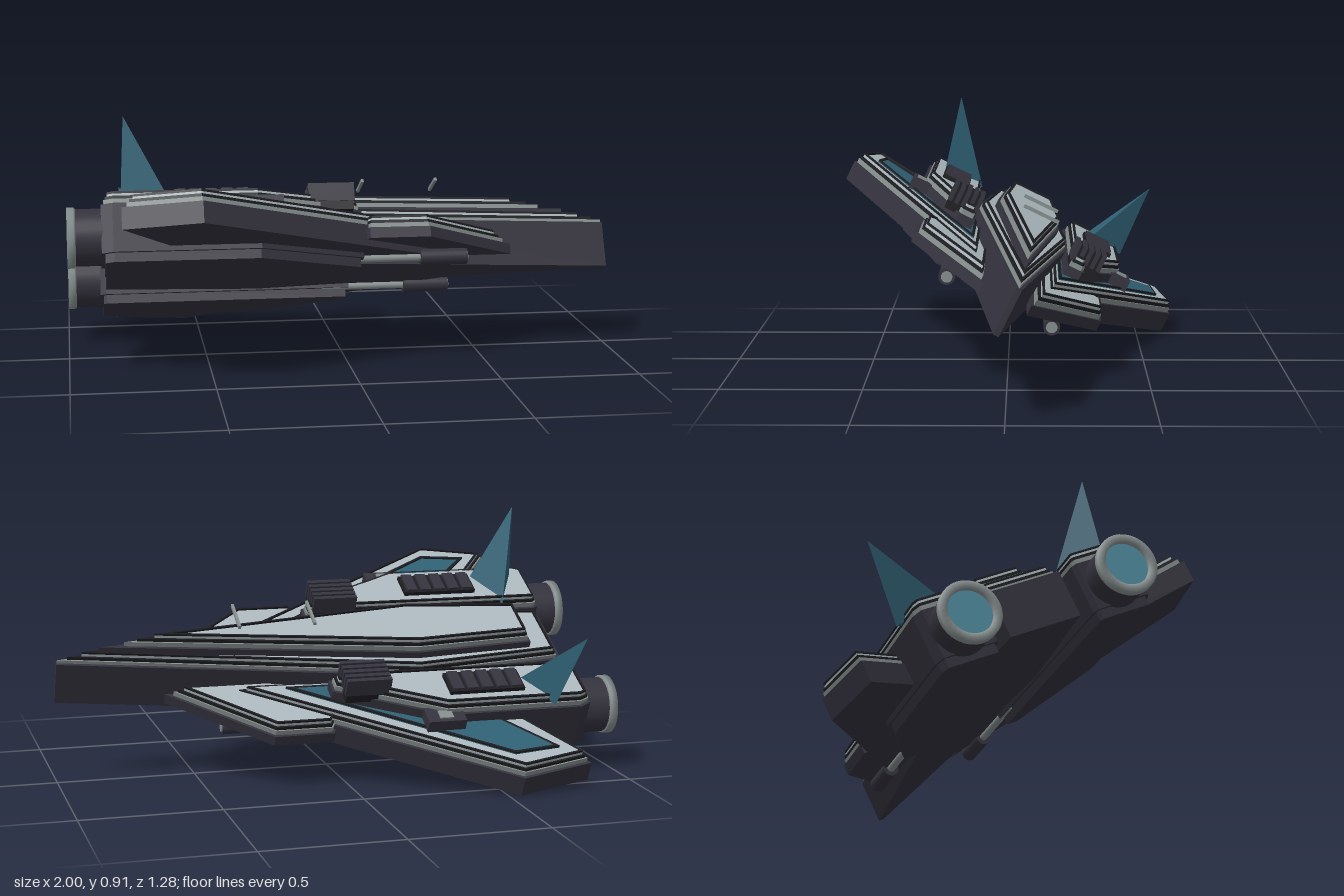
import * as THREE from 'three';

const paint = (name, color) => Object.assign(new THREE.MeshStandardMaterial({ color }), { name });

export function createModel() {
  const hullDark = paint('dark hull', 0x34323d);
  const black = paint('black trim', 0x1d1d21);
  const light = paint('pale deck', 0xabb8bd);
  const grey = paint('grey metal', 0x858d8d);
  const teal = paint('teal panel', 0x2f6073);
  const glow = paint('engine glow', 0x4f8b9d);

  const root = new THREE.Group();
  root.name = 'spaceFighter';
  // The craft flies along +x and is banked about that axis.
  const ship = new THREE.Group();
  ship.name = 'bankedCraft';
  ship.rotation.x = THREE.MathUtils.degToRad(-26);
  ship.position.set(0, 0.374, -0.007);
  root.add(ship);

  const add = (name, geometry, material, x = 0, y = 0, z = 0) => {
    const mesh = new THREE.Mesh(geometry, material);
    mesh.name = name;
    mesh.position.set(x, y, z);
    ship.add(mesh);
    return mesh;
  };
  const box = (name, material, x, y, z, l, h, w) =>
    add(name, new THREE.BoxGeometry(l, h, w), material, x, y, z);
  const rod = (name, material, x0, x1, y, z, r0, r1 = r0, open = false) => {
    const g = new THREE.CylinderGeometry(r1, r0, x1 - x0, 24, 1, open).rotateZ(-Math.PI / 2);
    return add(name, g, material, (x0 + x1) / 2, y, z);
  };

  // Moves every edge of a plan outline inwards by d.
  const inset = (pts, d) => {
    const n = pts.length;
    const area = pts.reduce((a, p, i) => {
      const q = pts[(i + 1) % n];
      return a + p[0] * q[1] - q[0] * p[1];
    }, 0);
    const k = Math.sign(area) * d;
    return pts.map((p, i) => {
      const a = pts[(i + n - 1) % n], b = pts[(i + 1) % n];
      const u = new THREE.Vector2(p[0] - a[0], p[1] - a[1]).normalize();
      const v = new THREE.Vector2(b[0] - p[0], b[1] - p[1]).normalize();
      const m = k / (1 + u.dot(v));
      return [p[0] - (u.y + v.y) * m, p[1] + (u.x + v.x) * m];
    });
  };
  // Plan outline of [x, z] points raised from y0 to y1, with an optional hole.
  const slab = (name, pts, y0, y1, material, hole) => {
    const vec = (list) => list.map(([x, z]) => new THREE.Vector2(x, -z));
    const shape = new THREE.Shape(vec(pts));
    if (hole) shape.holes.push(new THREE.Path(vec(hole)));
    const g = new THREE.ExtrudeGeometry(shape, { depth: y1 - y0, bevelEnabled: false });
    return add(name, g.rotateX(-Math.PI / 2), material, 0, y0, 0);
  };
  // Layered armour: grey band, black seam, pale deck and raised black edging.
  const plating = (name, pts, top) => {
    slab(name + 'Band', inset(pts, 0.01), top - 0.04, top - 0.022, grey);
    slab(name + 'Seam', inset(pts, 0.015), top - 0.022, top - 0.01, black);
    const deck = inset(pts, 0.022);
    slab(name + 'Deck', deck, top - 0.01, top, light);
    slab(name + 'Edging', deck, top, top + 0.008, black, inset(pts, 0.029));
  };
  const armoured = (name, pts, bottom, top) => {
    slab(name + 'Body', pts, bottom, top - 0.04, hullDark);
    plating(name, pts, top);
  };
  const both = (half) => [...half, ...half.filter((p) => p[1] > 0).reverse().map(([x, z]) => [x, -z])];

  // Central hull and raised spine
  slab('hullBody', both([[-0.86, 0.137], [-0.3, 0.19], [1, 0.01]]), -0.08, 0.09, hullDark);
  plating('hull', both([[-0.85, 0.137], [-0.3, 0.19], [1.07, 0]]), 0.125);
  armoured('spine', both([[-0.74, 0.1], [-0.3, 0.13], [0.85, 0]]), 0.12, 0.19);
  for (const x of [0.09, 0.365]) box('canopyRib', grey, x, 0.257, 0, 0.01, 0.012, 0.134);

  for (const s of [1, -1]) {
    const side = (pts) => pts.map(([x, z]) => [x, z * s]);
    const tag = s > 0 ? 'left' : 'right';

    // Swept wing with an inlaid panel
    const wing = side([[-0.815, 0.637], [-0.545, 0.695], [0.42, 0.13], [-0.42, 0.13]]);
    armoured(tag + 'Wing', wing, -0.068, 0.05);
    const inlay = side([[-0.7, 0.59], [-0.53, 0.61], [0.2, 0.17], [-0.3, 0.17]]);
    slab(tag + 'WingInlay', inlay, 0.05, 0.054, teal);
    slab(tag + 'WingInlayFrame', inlay, 0.05, 0.06, black, inset(inlay, 0.01));

    // Forward strake
    armoured(tag + 'Strake', side([[0.06, 0.366], [0.275, 0.366], [0.62, 0.09], [-0.1, 0.09]]), -0.045, 0.034);

    // Engine nacelle
    const pod = side([[-0.88, 0.2], [-0.86, 0.187], [0.05, 0.187], [0.05, 0.25],
      [-0.33, 0.42], [-0.84, 0.42], [-0.88, 0.4]]);
    slab(tag + 'NacelleBelly', inset(pod, 0.012), -0.118, -0.06, hullDark);
    armoured(tag + 'Nacelle', pod, -0.085, 0.13);

    // Nozzle with a glowing recessed disc
    const z = 0.304 * s;
    rod(tag + 'NozzleSleeve', hullDark, -0.97, -0.86, 0, z, 0.1);
    const ring = new THREE.LatheGeometry([[0.078, 0], [0.078, 0.03], [0.107, 0.03], [0.107, 0.006], [0.1, 0], [0.078, 0]]
      .map(([r, h]) => new THREE.Vector2(r, h)).reverse(), 32);
    const rim = add(tag + 'NozzleRing', ring.rotateZ(Math.PI / 2), grey, -0.968, 0, z);
    rim.material.side = THREE.DoubleSide;
    rod(tag + 'NozzleGlow', glow, -0.985, -0.965, 0, z, 0.079);

    // Slatted vent on the nacelle
    box(tag + 'VentBase', black, -0.493, 0.135, z, 0.28, 0.02, 0.108);
    for (let i = 0; i < 5; i++) {
      box(tag + 'VentSlat', hullDark, -0.603 + i * 0.055, 0.148, z, 0.04, 0.014, 0.1);
    }

    // Ribbed intake block
    box(tag + 'IntakeBlock', black, -0.062, 0.125, 0.25 * s, 0.155, 0.09, 0.115);
    for (let i = 0; i < 5; i++) {
      box(tag + 'IntakeRib', hullDark, -0.062, 0.145, (0.25 + (i - 2) * 0.026) * s, 0.165, 0.066, 0.016);
    }

    // Equipment box on the wing root
    box(tag + 'WingBox', hullDark, -0.32, 0.07, 0.42 * s, 0.14, 0.05, 0.08);
    box(tag + 'WingBoxLid', grey, -0.32, 0.097, 0.425 * s, 0.05, 0.006, 0.04);

    // Cannon slung beneath the strake
    rod(tag + 'CannonBarrel', grey, -0.05, 0.28, -0.077, 0.203 * s, 0.014);
    rod(tag + 'CannonMuzzle', hullDark, 0.26, 0.43, -0.077, 0.203 * s, 0.029);
    rod(tag + 'CannonBore', grey, 0.426, 0.433, -0.077, 0.203 * s, 0.02);

    // Canted, swept three-sided fin
    const [a, b, c] = (s > 0
      ? [[-0.73, 0.19], [-0.81, 0.355], [-0.64, 0.355]]
      : [[-0.73, -0.43], [-0.82, -0.275], [-0.635, -0.275]]).map(([x, w]) => [x, 0.115, w]);
    const tip = [-0.795, 0.402, 0.426 * s];
    const fin = new THREE.BufferGeometry();
    fin.setAttribute('position', new THREE.Float32BufferAttribute(
      [a, b, tip, b, c, tip, c, a, tip, a, c, b].flat(), 3));
    fin.computeVertexNormals();
    add(tag + 'Fin', fin, teal);
  }
  return root;
}
